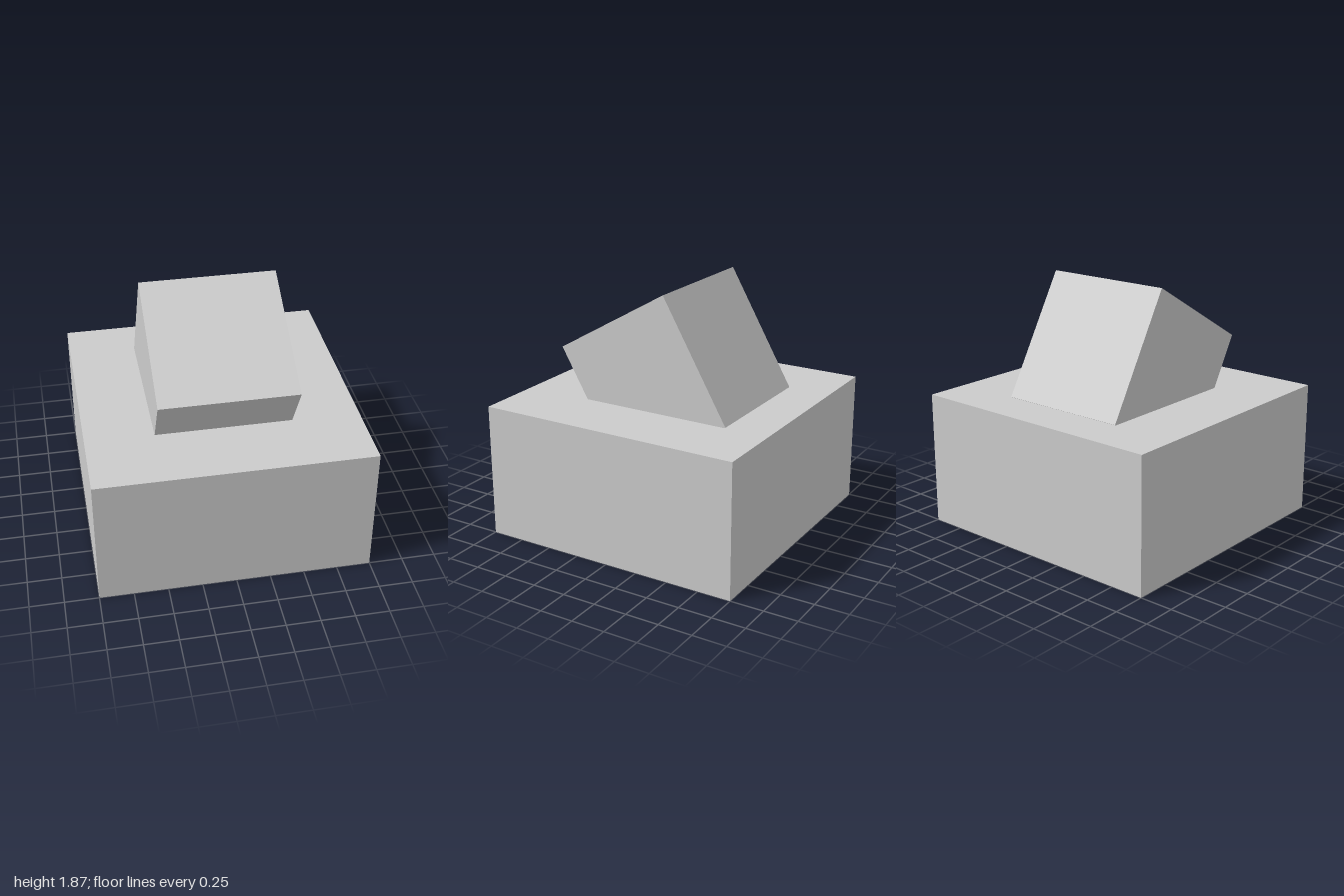
import * as THREE from 'three';

export function createModel() {
  const group = new THREE.Group();
  const material = new THREE.MeshStandardMaterial({ color: 0xcccccc, flatShading: true });

  const addBox = (name, width, height, depth, y, z) => {
    const mesh = new THREE.Mesh(new THREE.BoxGeometry(width, height, depth), material);
    mesh.name = name;
    mesh.position.set(0, y, z);
    group.add(mesh);
    return mesh;
  };

  // Square base block
  addBox('base', 2, 1, 2, 0.5, 0);

  // Cube tipped forward, partly sunk into the base
  addBox('tiltedCube', 1, 1, 1, 1.187, 0.01).rotation.x = Math.PI / 6;

  return group;
}
